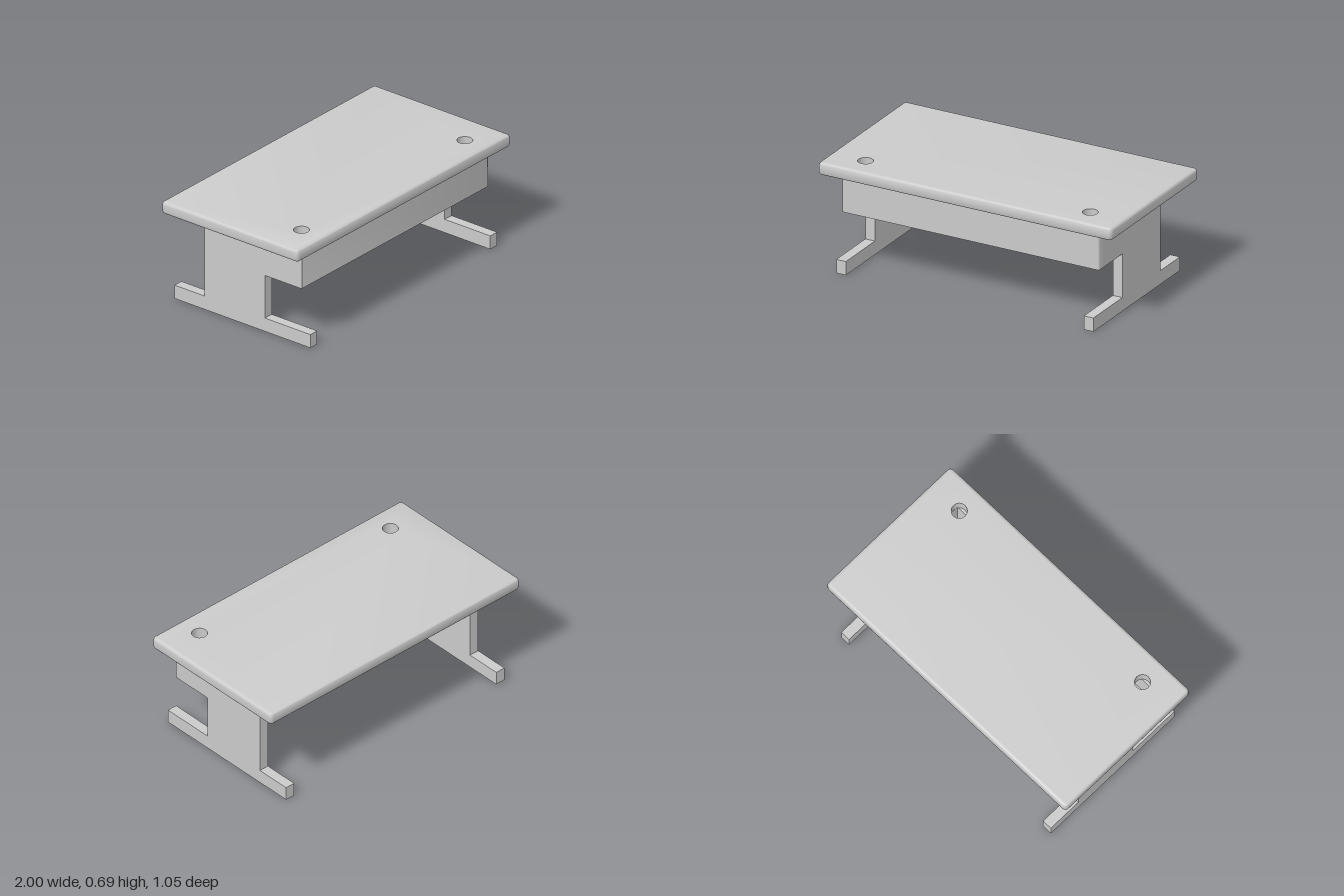
import * as THREE from 'three';
import { toCreasedNormals } from 'three/addons/utils/BufferGeometryUtils.js';

const HOLE_X = 0.765, HOLE_Z = 0.36, HOLE_R = 0.048;

export function createModel() {
  const desk = new THREE.Group();
  desk.name = 'desk';
  const material = new THREE.MeshStandardMaterial({ color: 0xcccccc });

  const add = (name, geometry) => {
    const mesh = new THREE.Mesh(geometry, material);
    mesh.name = name;
    desk.add(mesh);
    return mesh;
  };

  // Worktop: rounded slab with two cable holes
  const w = 1, d = 0.523, r = 0.025, bevel = 0.02;
  const slab = new THREE.Shape();
  slab.absarc(w - r, d - r, r, 0, Math.PI / 2);
  slab.absarc(-w + r, d - r, r, Math.PI / 2, Math.PI);
  slab.absarc(-w + r, -d + r, r, Math.PI, Math.PI * 1.5);
  slab.absarc(w - r, -d + r, r, Math.PI * 1.5, Math.PI * 2);
  slab.closePath();
  for (const s of [-1, 1]) {
    slab.holes.push(new THREE.Path().absarc(s * HOLE_X, -HOLE_Z, HOLE_R, 0, Math.PI * 2, true));
  }
  const top = new THREE.ExtrudeGeometry(slab, {
    depth: 0.08 - 2 * bevel, curveSegments: 8,
    bevelThickness: bevel, bevelSize: bevel, bevelOffset: -bevel, bevelSegments: 4,
  });
  top.rotateX(-Math.PI / 2).translate(0, 0.61 + bevel, 0);
  // Keep the hole walls straight, without the slab's rounding
  const p = top.attributes.position;
  for (let i = 0; i < p.count; i++) {
    const cx = Math.sign(p.getX(i)) * HOLE_X;
    const dx = p.getX(i) - cx, dz = p.getZ(i) - HOLE_Z, dist = Math.hypot(dx, dz);
    if (dist < 0.09) {
      p.setX(i, cx + dx * HOLE_R / dist);
      p.setZ(i, HOLE_Z + dz * HOLE_R / dist);
    }
  }
  add('worktop', toCreasedNormals(top, 0.6));

  // Side legs: one flat profile with foot, column and upper arm (drawn as -z, y)
  const profile = new THREE.Shape([
    [-0.517, 0], [0.52, 0], [0.52, 0.088], [0.29, 0.088], [0.29, 0.61],
    [-0.39, 0.61], [-0.39, 0.37], [-0.17, 0.37], [-0.17, 0.088], [-0.517, 0.088],
  ].map(([x, y]) => new THREE.Vector2(x, y)));
  const leg = new THREE.ExtrudeGeometry(profile, { depth: 0.065, bevelEnabled: false });
  leg.rotateY(Math.PI / 2);
  add('leftLeg', leg).position.x = 0.81;
  add('rightLeg', leg).position.x = -0.875;

  // Front panel with slightly rounded outer corners
  const plan = new THREE.Shape();
  const pr = 0.008;
  plan.moveTo(0.875, -0.39);
  plan.lineTo(-0.875, -0.39);
  plan.absarc(-0.875 + pr, -0.45 + pr, pr, Math.PI, Math.PI * 1.5);
  plan.absarc(0.875 - pr, -0.45 + pr, pr, Math.PI * 1.5, Math.PI * 2);
  plan.closePath();
  const panel = new THREE.ExtrudeGeometry(plan, { depth: 0.24, bevelEnabled: false, curveSegments: 3 });
  panel.rotateX(-Math.PI / 2).translate(0, 0.37, 0);
  add('frontPanel', toCreasedNormals(panel, 0.6));

  // Cable tray floor between the legs, behind the front panel
  add('trayFloor', new THREE.BoxGeometry(1.62, 0.055, 0.22)).position.set(0, 0.3975, 0.28);

  return desk;
}
